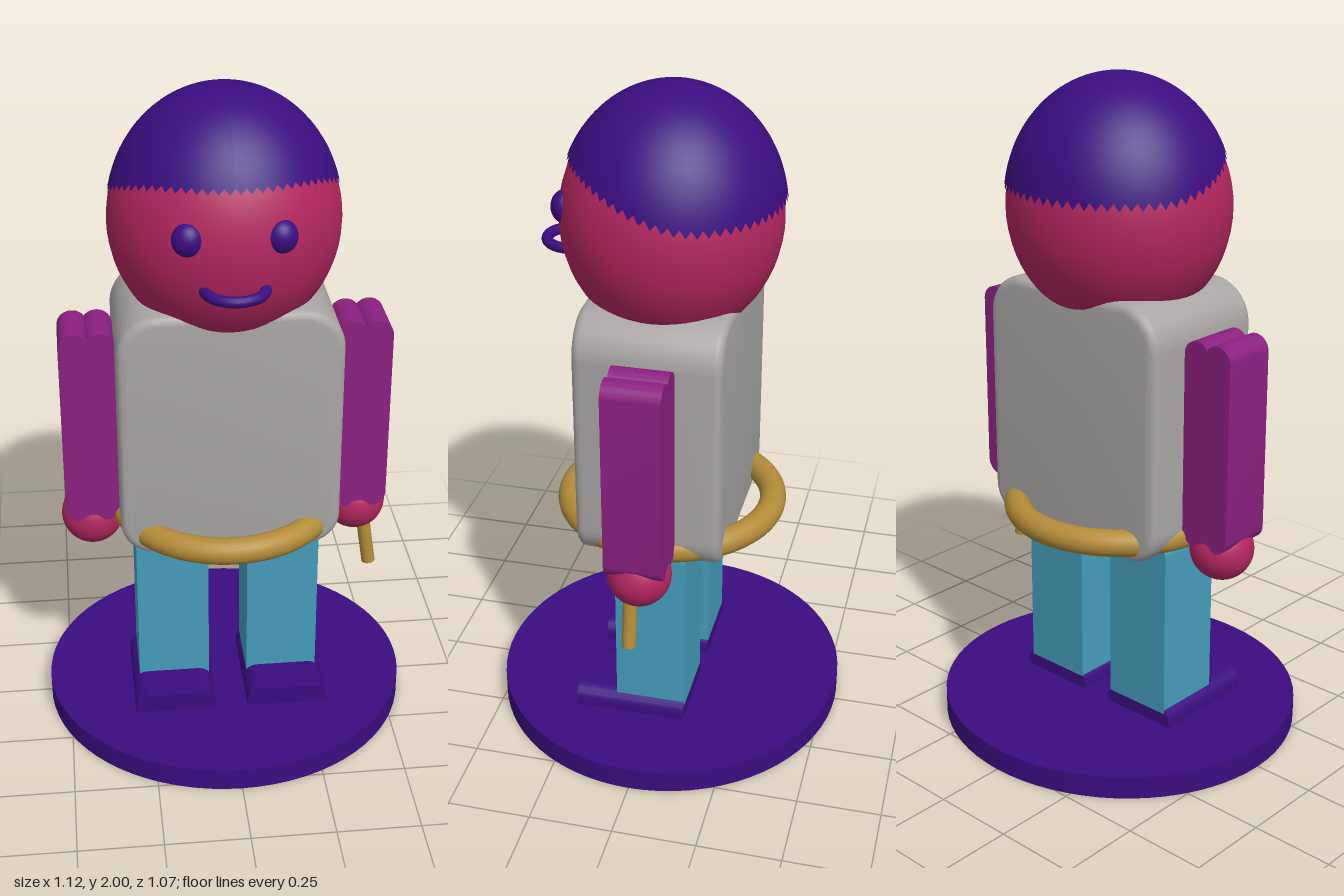
import * as THREE from 'three';
import { toCreasedNormals } from 'three/addons/utils/BufferGeometryUtils.js';

const mat = (name, color) => new THREE.MeshStandardMaterial({ name, color });

// Upright rounded outline, centred on x, with separate top and bottom corner radii
function outline(w, y0, y1, top, bottom) {
  const x = w / 2, s = new THREE.Shape();
  s.moveTo(-x + bottom, y0);
  s.lineTo(x - bottom, y0);
  if (bottom) s.absarc(x - bottom, y0 + bottom, bottom, -Math.PI / 2, 0);
  s.lineTo(x, y1 - top);
  s.absarc(x - top, y1 - top, top, 0, Math.PI / 2);
  s.lineTo(-x + top, y1);
  s.absarc(-x + top, y1 - top, top, Math.PI / 2, Math.PI);
  s.lineTo(-x, y0 + bottom);
  if (bottom) s.absarc(-x + bottom, y0 + bottom, bottom, Math.PI, Math.PI * 1.5);
  return s;
}

// Extrude an outline along z, centred, with an optional bevel kept inside the size
function slab(shape, depth, bevel = 0) {
  const g = new THREE.ExtrudeGeometry(shape, {
    depth: depth - 2 * bevel, curveSegments: 12, bevelEnabled: bevel > 0,
    bevelThickness: bevel, bevelSize: bevel, bevelOffset: -bevel, bevelSegments: 4
  });
  g.translate(0, 0, -depth / 2 + bevel);
  return toCreasedNormals(g, 0.6);
}

// Arm outline: two rounded lobes at the top and the bottom
function armShape(w, y0, y1) {
  const x = w / 2, r = 0.045, c = x - r, a = Math.asin(c / r) || 0;
  const s = new THREE.Shape();
  s.moveTo(x, y0 + r);
  s.lineTo(x, y1 - r);
  s.absarc(c, y1 - r, r, 0, Math.PI / 2 + a);
  s.absarc(-c, y1 - r, r, Math.PI / 2 - a, Math.PI);
  s.lineTo(-x, y0 + r);
  s.absarc(-c, y0 + r, r, Math.PI, Math.PI * 1.5 + a);
  s.absarc(c, y0 + r, r, Math.PI * 1.5 - a, Math.PI * 2);
  return s;
}

// Hair cap: level at the back, with the hem rising over the forehead
function capGeometry(rx, ry, rz) {
  const g = new THREE.SphereGeometry(1, 64, 24);
  const p = g.attributes.position, uv = g.attributes.uv;
  for (let i = 0; i < p.count; i++) {
    const phi = uv.getX(i) * Math.PI * 2, t = 1 - uv.getY(i);
    const lift = THREE.MathUtils.smoothstep(Math.cos(phi), -0.5, 1);
    const theta = t * Math.acos((0.04 + 0.115 * lift) / ry);
    p.setXYZ(i, rx * Math.sin(theta) * Math.sin(phi), ry * Math.cos(theta),
      rz * Math.sin(theta) * Math.cos(phi));
  }
  g.computeVertexNormals();
  return g;
}

export function createModel() {
  const model = new THREE.Group();
  const purple = mat('deep purple', 0x3b0d80);
  const skin = mat('raspberry skin', 0xb3265f);
  const grey = mat('grey shirt', 0xa9a5a5);
  const magenta = mat('magenta sleeve', 0x8b2080);
  const blue = mat('blue trousers', 0x449dba);
  const gold = mat('gold', 0xb48c38);
  purple.side = THREE.DoubleSide;

  const add = (name, geometry, material, x = 0, y = 0, z = 0) => {
    const m = new THREE.Mesh(geometry, material);
    m.name = name;
    m.position.set(x, y, z);
    model.add(m);
    return m;
  };
  const ball = (name, material, x, y, z, rx, ry, rz) =>
    add(name, new THREE.SphereGeometry(1, 48, 32), material, x, y, z).scale.set(rx, ry, rz);

  // Display base
  add('base', new THREE.CylinderGeometry(1, 1, 0.07, 72), purple, 0, 0.035, 0).scale.set(0.562, 1, 0.537);

  // Body and belt
  add('torso', slab(outline(0.65, 0.64, 1.41, 0.125, 0.1), 0.43, 0.025), grey);
  const belt = add('belt', new THREE.TorusGeometry(0.31, 0.04, 20, 80), gold, 0, 0.7, 0);
  belt.rotation.x = Math.PI / 2;

  // Limbs on both sides
  for (const [side, s] of [['left', 1], ['right', -1]]) {
    add(side + 'Leg', slab(outline(0.22, 0.11, 0.66, 0.03, 0), 0.215), blue, s * 0.17, 0, 0.002);
    add(side + 'Shoe', slab(outline(0.25, 0.065, 0.13, 0.045, 0), 0.34), purple, s * 0.175, 0, 0.065);
    add(side + 'Arm', slab(armShape(0.162, 0.69, 1.31), 0.17), magenta, s * 0.405, 0, 0);
    ball(side + 'Hand', skin, s * 0.405, 0.67, 0, 0.094, 0.094, 0.094);
    ball(side + 'Eye', purple, s * 0.125, 1.665, 0.275, 0.045, 0.048, 0.04);
  }

  // Stick held in the left hand
  const stick = add('stick', new THREE.CylinderGeometry(0.021, 0.021, 0.22, 20), gold, 0.44, 0.555, 0.02);
  stick.rotation.z = 0.15;

  // Head, cap and mouth
  ball('head', skin, 0, 1.62, 0, 0.332, 0.355, 0.318);
  add('cap', capGeometry(0.332, 0.365, 0.324), purple, 0, 1.635, -0.002);
  const mouth = add('mouth', new THREE.TorusGeometry(0.083, 0.016, 14, 32, Math.PI), purple, 0, 1.52, 0.285);
  mouth.rotation.x = Math.PI / 2;

  return model;
}
